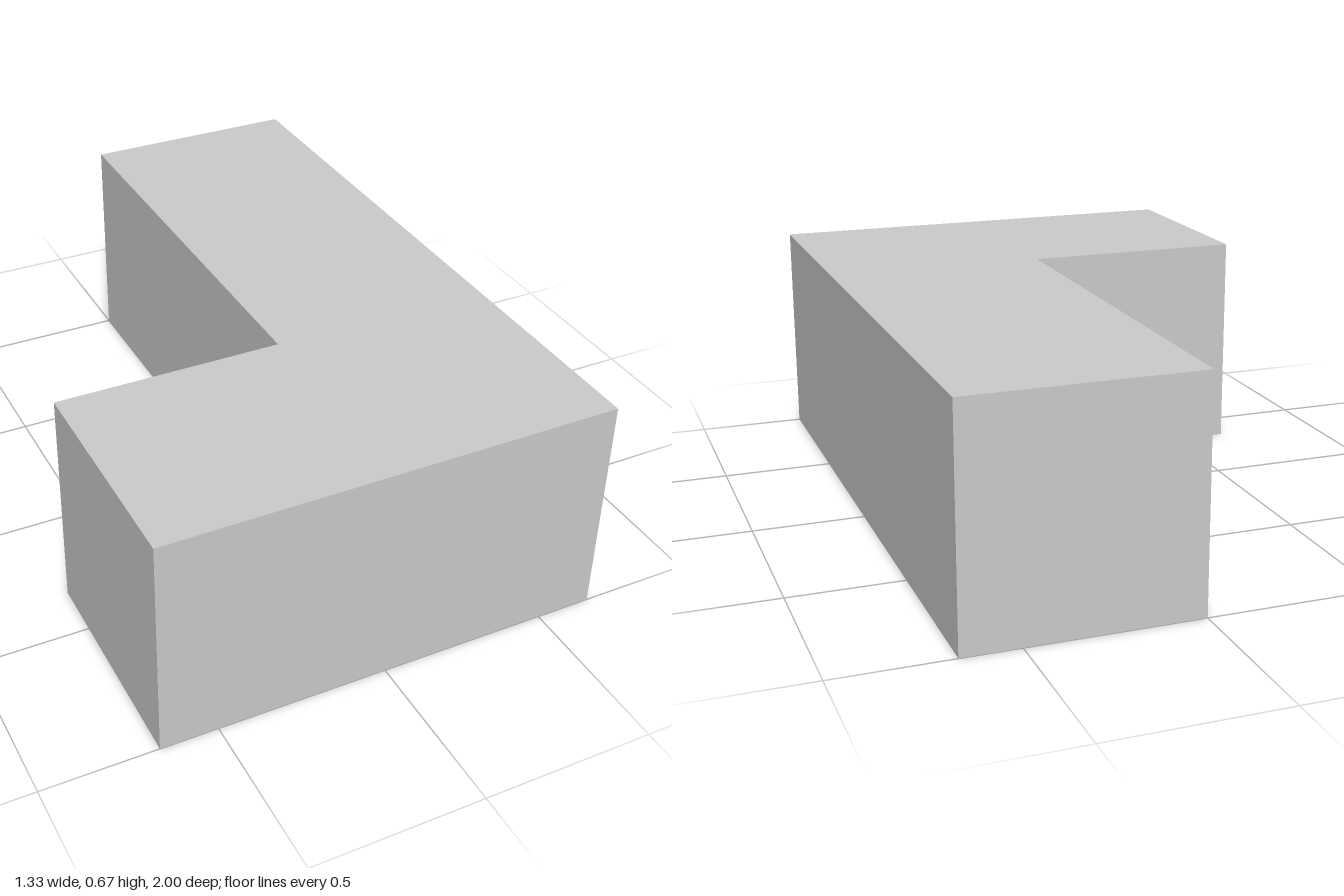
import * as THREE from 'three';

export function createModel() {
  const group = new THREE.Group();
  const u = 2 / 3; // block unit: three long, two wide, one high

  // L-shaped footprint; shape y becomes -z once laid flat
  const footprint = new THREE.Shape(
    [[-u, -1], [u, -1], [u, 1], [0, 1], [0, u - 1], [-u, u - 1]].map(([x, y]) => new THREE.Vector2(x, y))
  );
  const geometry = new THREE.ExtrudeGeometry(footprint, { depth: u, bevelEnabled: false });
  geometry.rotateX(-Math.PI / 2);

  const block = new THREE.Mesh(
    geometry,
    new THREE.MeshStandardMaterial({ color: 0xcccccc, flatShading: true })
  );
  block.name = 'lShapedBlock';
  group.add(block);
  return group;
}
